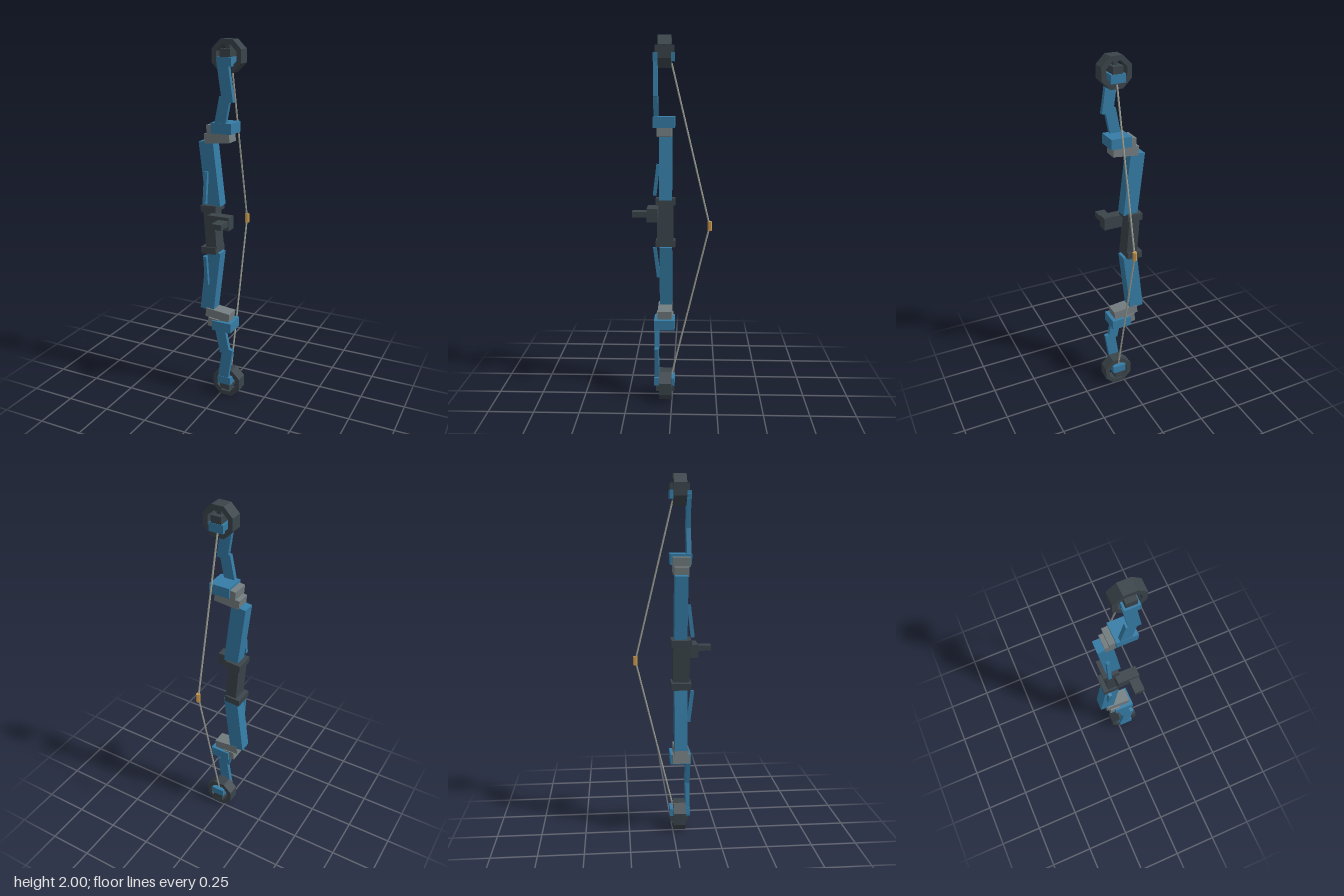
import * as THREE from 'three';

const material = (name, color) => {
  const m = new THREE.MeshStandardMaterial({ color });
  m.name = name;
  return m;
};

export function createModel() {
  const bow = new THREE.Group();
  bow.name = 'compoundBow';
  const blue = material('blue', 0x357ca6);
  const dark = material('charcoal', 0x3a444a);
  const grey = material('grey', 0x737d80);
  const cord = material('cord', 0xa0a398);
  const brass = material('brass', 0xc9984c);

  const add = (name, geometry, mat, x, y, z) => {
    const mesh = new THREE.Mesh(geometry, mat);
    mesh.name = name;
    mesh.position.set(x, y, z);
    bow.add(mesh);
    return mesh;
  };
  // Box by centre x, y, its z range, width, height and tilt
  const box = (name, mat, x, y, z0, z1, w, h, rz = 0, rx = 0) => {
    const mesh = add(name, new THREE.BoxGeometry(w, h, z1 - z0), mat, x, y, (z0 + z1) / 2);
    mesh.rotation.set(rx, 0, rz);
    return mesh;
  };

  // Grip and arrow rest
  box('grip', dark, -0.053, 1, -0.005, 0.085, 0.063, 0.22, 0.075);
  box('arrowRest', dark, 0.022, 1.063, 0.078, 0.136, 0.123, 0.072);
  box('restProng', dark, 0.051, 1.067, 0.13, 0.215, 0.056, 0.03);

  // Octagonal wheel rim with flat top and bottom
  const octagon = (path, apothem) => {
    const r = apothem / Math.cos(Math.PI / 8);
    const points = [];
    for (let i = 0; i < 8; i++) {
      const a = Math.PI / 8 + (i * Math.PI) / 4;
      points.push(new THREE.Vector2(r * Math.cos(a), r * Math.sin(a)));
    }
    return path.setFromPoints(points);
  };
  const rim = octagon(new THREE.Shape(), 0.082);
  rim.holes.push(octagon(new THREE.Path(), 0.056));
  const rimGeometry = new THREE.ExtrudeGeometry(rim, { depth: 0.069, bevelEnabled: false });

  // Upper and lower halves, mirrored about the grip
  for (const s of [1, -1]) {
    const side = s > 0 ? 'upper' : 'lower';
    const half = (name, mat, x, dy, z0, z1, w, h, rz = 0, rx = 0) =>
      box(side + name, mat, x, 1 + s * dy, z0, z1, w, h, s * rz, s * rx);

    half('GripCollar', dark, -0.059, 0.118, -0.015, 0.093, 0.089, 0.038, s * 0.06);
    half('Riser', blue, -0.06, 0.305, 0.003, 0.072, 0.083, 0.355, 0.12);
    half('RiserFin', blue, -0.074, 0.235, 0.08, 0.1, 0.019, 0.175, 0, -0.12);
    half('LimbBracket', grey, -0.013, 0.502, 0.002, 0.08, 0.145, 0.052, 0.1);
    half('LimbSpacer', grey, -0.035, 0.548, -0.005, 0.09, 0.064, 0.05, 0.1);
    half('LimbPocket', blue, 0.021, 0.558, -0.015, 0.1, 0.115, 0.056);
    half('InnerLimb', blue, 0.026, 0.642, 0.074, 0.098, 0.06, 0.145, -0.2);
    half('OuterLimb', blue, 0.042, 0.795, 0.074, 0.098, 0.062, 0.215, 0.15);
    half('LimbTip', blue, 0.038, 0.892, -0.015, 0.1, 0.08, 0.045);
    half('WheelHub', dark, 0.038, 0.925, -0.013, 0.09, 0.057, 0.055);
    half('WheelSpoke', dark, 0.038, 0.958, 0.015, 0.06, 0.024, 0.05);
    add(side + 'Wheel', rimGeometry, dark, 0.038, 1 + s * 0.918, 0.003);

    // Drawn string from wheel to nock
    const start = new THREE.Vector3(0.038, 1 + s * 0.86, 0.002);
    const end = new THREE.Vector3(0.038, 1, -0.204);
    const dir = start.clone().sub(end);
    const mid = start.clone().add(end).multiplyScalar(0.5);
    const string = add(side + 'String',
      new THREE.CylinderGeometry(0.005, 0.005, dir.length(), 6), cord, mid.x, mid.y, mid.z);
    string.quaternion.setFromUnitVectors(new THREE.Vector3(0, 1, 0), dir.normalize());
  }

  // Nock sleeve on the string
  const nock = new THREE.CylinderGeometry(0.0125, 0.0125, 0.05, 6).toNonIndexed();
  nock.computeVertexNormals();
  add('nockSleeve', nock, brass, 0.038, 1, -0.205);
  return bow;
}
